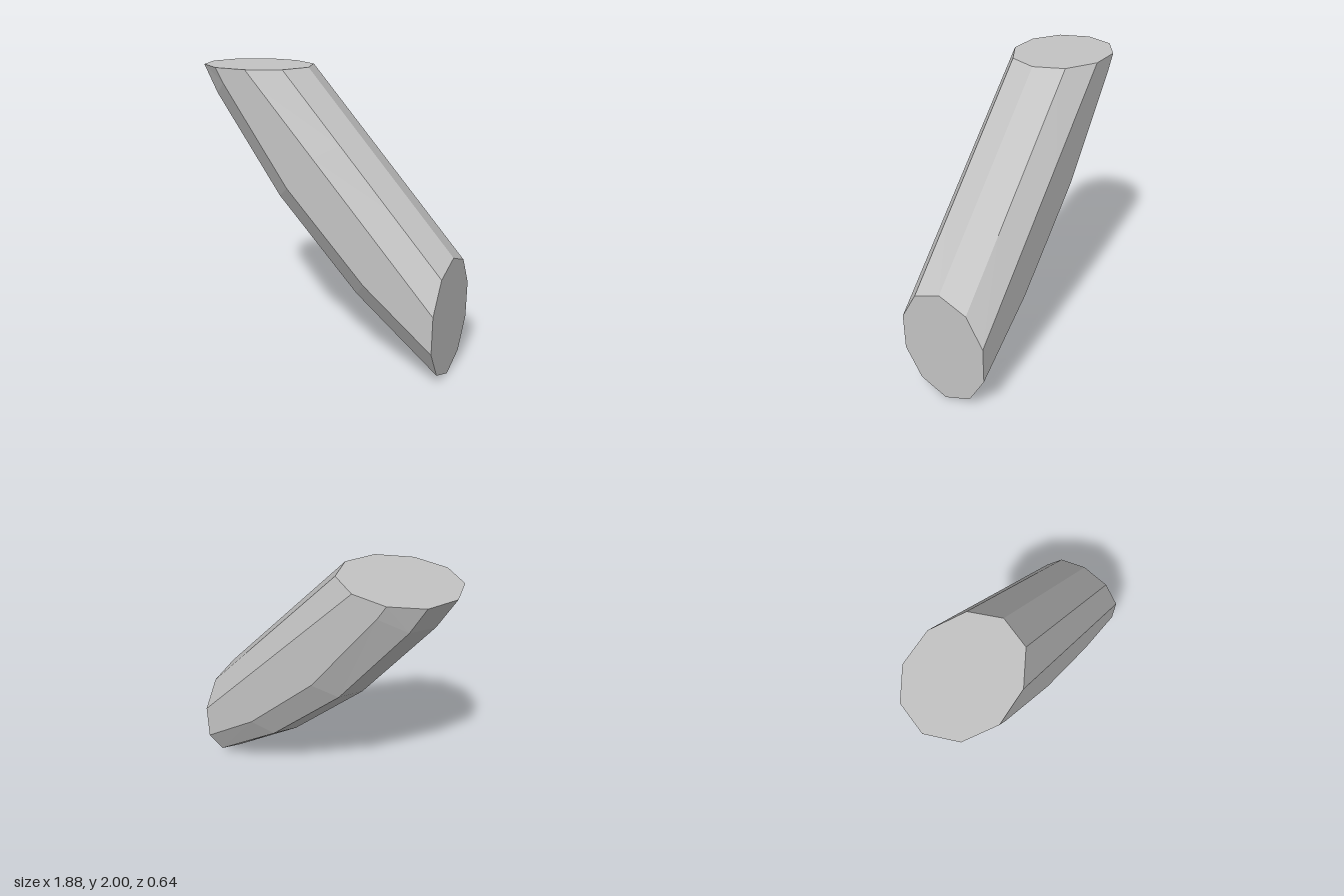
import * as THREE from 'three';

const steps = [0, 0.08, 0.37, 0.68, 1];
// straight edge from the level top end to the upright lower end
const straight = (x, y) => steps.map(t => [x + (0.94 - x) * t, 2 + (y - 2) * t]);

// lengthwise edges as [x, y], from the belly up to the ridge, with their z
const edges = [
  { z: 0, path: [[-0.943, 2], [-0.82, 1.78], [-0.31, 1.1], [0.3, 0.49], [0.94, 0]] },
  { z: 0.2, path: [[-0.87, 2], [-0.765, 1.81], [-0.265, 1.14], [0.34, 0.54], [0.94, 0.085]] },
  { z: 0.32, path: [[-0.68, 2], [-0.62, 1.9], [-0.13, 1.24], [0.45, 0.665], [0.94, 0.295]] },
  { z: 0.32, path: straight(-0.44, 0.558) },
  { z: 0.2, path: straight(-0.226, 0.767) },
  { z: 0, path: straight(-0.147, 0.847) },
];

function beamGeometry() {
  // mirror the side edges to close the ten-sided section
  const mirrored = edges.slice(1, 5).reverse().map(e => ({ z: -e.z, path: e.path }));
  const ring = [...edges, ...mirrored];
  const n = ring.length, last = steps.length - 1;
  const pos = [];
  const put = (s, i) => {
    const e = ring[i % n];
    pos.push(e.path[s][0], e.path[s][1], e.z);
  };
  const tri = (...corners) => corners.forEach(([s, i]) => put(s, i));

  // side facets
  for (let s = 0; s < last; s++) {
    for (let i = 0; i < n; i++) {
      tri([s, i], [s + 1, i], [s + 1, i + 1]);
      tri([s, i], [s + 1, i + 1], [s, i + 1]);
    }
  }
  // flat end cuts
  for (let i = 1; i < n - 1; i++) {
    tri([0, 0], [0, i], [0, i + 1]);
    tri([last, 0], [last, i + 1], [last, i]);
  }
  const geometry = new THREE.BufferGeometry();
  geometry.setAttribute('position', new THREE.Float32BufferAttribute(pos, 3));
  geometry.computeVertexNormals();
  return geometry;
}

export function createModel() {
  const group = new THREE.Group();
  group.name = 'bracketBeam';
  const grey = new THREE.MeshStandardMaterial({ color: 0xc4c4c4 });
  grey.name = 'light grey';
  const beam = new THREE.Mesh(beamGeometry(), grey);
  beam.name = 'slantedBeam';
  group.add(beam);
  return group;
}
